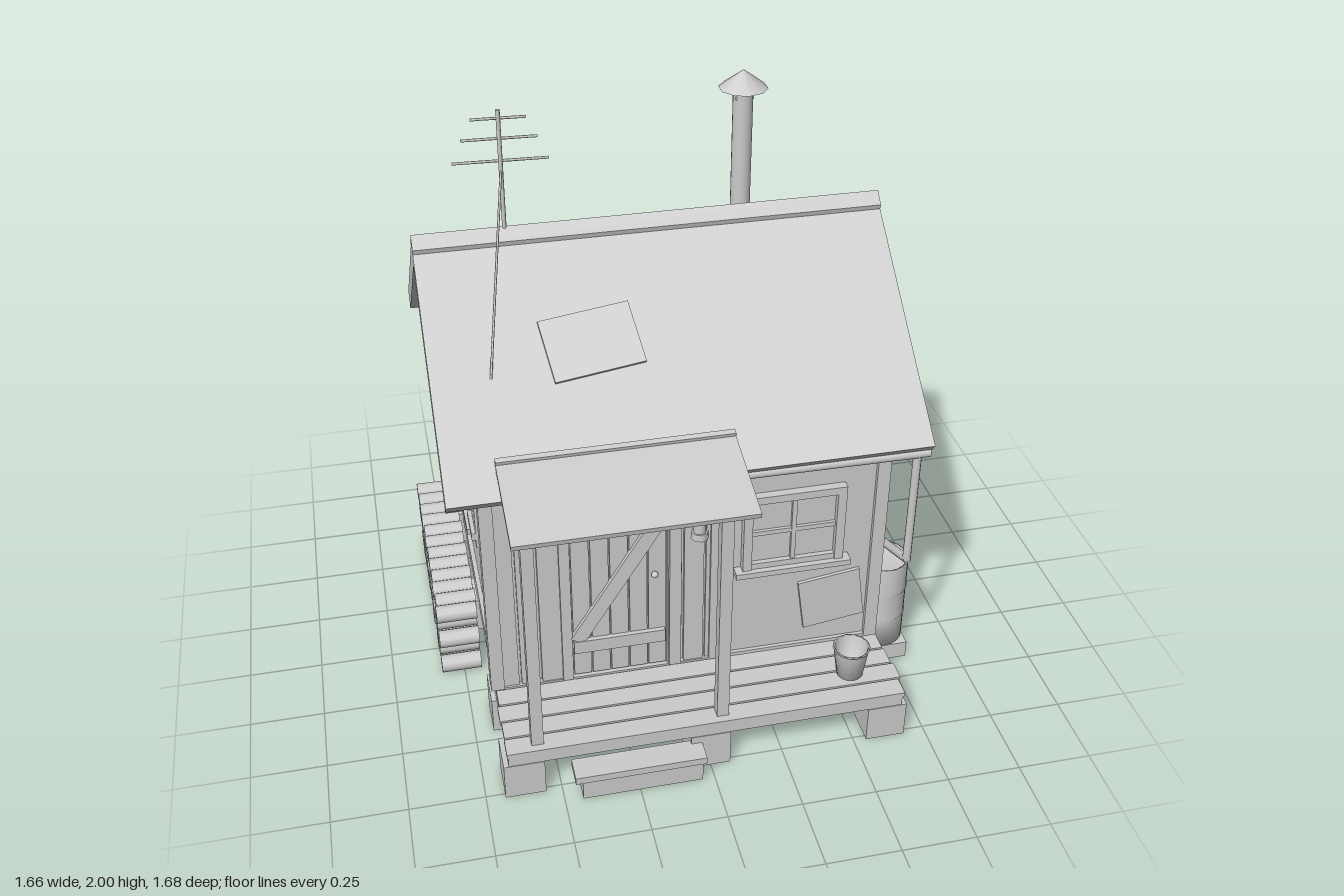
import * as THREE from 'three';

export function createModel() {
  const root = new THREE.Group();
  root.name = 'cabin';
  const grey = new THREE.MeshStandardMaterial({ color: 0xcccccc });
  grey.name = 'plainGrey';

  const add = (name, geo, x = 0, y = 0, z = 0, parent = root) => {
    const m = new THREE.Mesh(geo, grey);
    m.name = name;
    m.position.set(x, y, z);
    parent.add(m);
    return m;
  };
  // box given by its min and max corners
  const box = (name, x0, x1, y0, y1, z0, z1, parent = root) =>
    add(name, new THREE.BoxGeometry(x1 - x0, y1 - y0, z1 - z0),
      (x0 + x1) / 2, (y0 + y1) / 2, (z0 + z1) / 2, parent);
  const cyl = (name, rTop, rBot, h, x, y, z, sides = 16, parent = root) =>
    add(name, new THREE.CylinderGeometry(rTop, rBot, h, sides), x, y, z, parent);
  // round bar between two points
  const rod = (name, a, b, r, sides = 8) => {
    const p = new THREE.Vector3(...a), q = new THREE.Vector3(...b);
    const m = cyl(name, r, r, p.distanceTo(q), 0, 0, 0, sides);
    m.position.copy(p).add(q).multiplyScalar(0.5);
    m.quaternion.setFromUnitVectors(new THREE.Vector3(0, 1, 0), q.sub(p).normalize());
    return m;
  };
  const group = (name, x, y, z, rotY = 0) => {
    const g = new THREE.Group();
    g.name = name;
    g.position.set(x, y, z);
    g.rotation.y = rotY;
    root.add(g);
    return g;
  };
  let seed = 7;
  const rand = () => (seed = (seed * 16807) % 2147483647) / 2147483647;

  // foundation blocks and floor
  for (const z of [-0.675, -0.14, 0.39, 0.7])
    for (const x of [-0.62, 0, 0.61]) box('foundationBlock', x - 0.067, x + 0.067, 0, 0.135, z - 0.067, z + 0.067);
  box('floor', -0.67, 0.66, 0.135, 0.19, -0.74, 0.46);

  // walls with gables, extruded along x
  const Z = -0.147, pent = new THREE.Shape();
  pent.moveTo(-0.588, 0.17);
  pent.lineTo(0.588, 0.17);
  pent.lineTo(0.588, 1.053);
  pent.lineTo(0, 1.52);
  pent.lineTo(-0.588, 1.053);
  const walls = new THREE.ExtrudeGeometry(pent, { depth: 1.29, bevelEnabled: false });
  walls.translate(0, 0, -0.645).rotateY(-Math.PI / 2);
  add('walls', walls, 0, 0, Z);

  // corner boards and gable trims
  for (const s of [-1, 1]) {
    for (const [z0, z1] of [[0.41, 0.467], [-0.752, -0.71]])
      box('cornerBoard', s > 0 ? 0.62 : -0.685, s > 0 ? 0.665 : -0.64, 0.19, 1.03, z0, z1);
    box('gableTrim', s * 0.655 - 0.012, s * 0.655 + 0.012, 1.045, 1.09, -0.71, 0.41);
    box('sideSheet', s * 0.648 - 0.006, s * 0.648 + 0.006, 0.19, 1.045, -0.71, 0.41);
  }

  // right wall: patch and rivets
  box('sidePatch', 0.65, 0.664, 0.25, 0.635, -0.365, 0.11);
  const rivet = (x, y, z) => add('rivet', new THREE.SphereGeometry(0.007, 6, 4), x, y, z);
  for (let i = 0; i < 9; i++) {
    const z = -0.68 + i * 0.132;
    rivet(0.655, 1.01, z);
    rivet(0.655, 0.22, z);
    if (i > 0 && i < 8) for (const ze of [-0.68, 0.376]) rivet(0.655, 0.22 + i * 0.099, ze);
  }

  // vertical cladding on the back and the left part of the front
  const cladding = (x0, x1, z, dir) => {
    for (let x = x0; x < x1 - 0.01;) {
      const w = Math.min(0.055 + rand() * 0.035, x1 - x);
      const t = 0.008 + rand() * 0.012;
      box('wallPlank', x, x + w - 0.008, 0.18, 1.03, dir > 0 ? z : z - t, dir > 0 ? z + t : z);
      x += w;
    }
  };
  cladding(-0.64, 0.62, -0.735, -1);
  cladding(-0.64, -0.4, 0.441, 1);
  cladding(-0.08, 0.08, 0.441, 1);
  box('frontSheet', 0.09, 0.62, 0.2, 1.03, 0.441, 0.452);
  box('sheetEdge', 0.065, 0.09, 0.19, 1.03, 0.441, 0.462);
  box('baseTrim', 0.09, 0.66, 0.185, 0.2, 0.441, 0.465);

  // roof slopes with bargeboards and patches
  const A = Math.atan2(0.55, 0.692);
  const slope = (name, turn) => {
    const g = group(name, 0, 1.575, Z);
    g.rotation.set(A, turn, 0, 'YXZ');
    const f = turn ? -1 : 1;
    const sheet = box('roofSheet', -0.78, 0.78, -0.04, 0, 0, 0.884, g);
    sheet.position.x = -0.005 * f;
    for (const x of [-0.762, 0.752]) box('bargeboard', x * f - 0.023, x * f + 0.023, -0.066, -0.003, 0, 0.88, g);
    return g;
  };
  const front = slope('frontRoof', 0), back = slope('backRoof', Math.PI);
  box('roofPatch', -0.15, 0.15, 0, 0.012, -0.106, 0.106, front).position.set(-0.264, 0.008, 0.405);
  front.children.at(-1).rotation.y = 0.13;
  box('roofPatch', -0.195, 0.195, 0, 0.012, -0.128, 0.128, back).position.set(0.177, 0.008, 0.466);
  back.children.at(-1).rotation.y = -0.1;
  const capShape = new THREE.Shape([[0, 1.602], [-0.038, 1.565], [-0.03, 1.535], [0, 1.55], [0.03, 1.535], [0.038, 1.565]]
    .map(p => new THREE.Vector2(...p)));
  const cap = new THREE.ExtrudeGeometry(capShape, { depth: 1.56, bevelEnabled: false });
  cap.translate(0, 0, -0.78).rotateY(-Math.PI / 2);
  add('ridgeCap', cap, -0.005, 0, Z);

  // stove pipe
  cyl('stovePipe', 0.035, 0.035, 0.56, 0.38, 1.585, -0.45);
  cyl('pipeFlashing', 0.04, 0.085, 0.09, 0.38, 1.345, -0.45);
  cyl('pipeCap', 0.002, 0.085, 0.062, 0.38, 1.913, -0.45, 10);
  for (let i = 0; i < 3; i++) {
    const a = i * 2.094 + 0.5;
    cyl('capBracket', 0.005, 0.005, 0.05, 0.38 + 0.033 * Math.cos(a), 1.87, -0.45 + 0.033 * Math.sin(a), 6);
  }

  // antenna
  cyl('antennaMast', 0.007, 0.007, 0.42, -0.485, 1.79, Z, 8);
  for (const [y, r] of [[1.972, 0.087], [1.905, 0.12], [1.83, 0.152]])
    rod('antennaBar', [-0.485 - r, y, Z - r * 0.04], [-0.485 + r, y, Z + r * 0.04], 0.0045, 6);
  rod('guyWire', [-0.485, 1.8, Z], [-0.595, 1.27, 0.235], 0.004, 6);

  // porch deck, step, awning and posts
  for (let i = 0; i < 4; i++)
    box('deckPlank', -0.68 + rand() * 0.012, 0.665 + rand() * 0.014, 0.17, 0.187, 0.465 + i * 0.077, 0.535 + i * 0.077);
  box('deckBeam', -0.67, 0.66, 0.135, 0.17, 0.72, 0.765);
  box('deckBeam', -0.67, 0.66, 0.135, 0.17, 0.46, 0.5);
  box('stepBase', -0.44, -0.04, 0, 0.085, 0.76, 0.825);
  box('stepTread', -0.465, -0.03, 0.082, 0.108, 0.75, 0.838);
  for (const x of [-0.57, 0.045]) box('porchPost', x - 0.02, x + 0.02, 0.187, 1.025, 0.7, 0.74);
  box('awningBeam', -0.6, 0.12, 1.0, 1.025, 0.705, 0.735);
  const awning = group('awning', 0, 1.1, 0.44);
  awning.rotation.x = 0.22;
  box('awningSheet', -0.62, 0.138, -0.012, 0.006, 0, 0.345, awning);
  box('awningBatten', -0.62, 0.138, 0, 0.018, 0, 0.02, awning);

  // door with boards and z-brace
  for (let i = 0; i < 5; i++)
    box('doorPlank', -0.4 + i * 0.064, -0.341 + i * 0.064, 0.2, 0.99, 0.441, 0.456);
  box('doorFrame', -0.44, -0.405, 0.19, 1.02, 0.441, 0.468);
  box('doorFrame', -0.075, -0.035, 0.19, 1.02, 0.441, 0.468);
  box('doorBrace', -0.4, -0.09, 0.83, 0.88, 0.45, 0.472);
  box('doorBrace', -0.4, -0.09, 0.305, 0.355, 0.45, 0.472);
  box('doorDiagonal', -0.025, 0.025, -0.275, 0.275, -0.01, 0.01).position.set(-0.245, 0.59, 0.46);
  root.children.at(-1).rotation.z = -0.55;
  add('doorKnob', new THREE.SphereGeometry(0.012, 10, 8), -0.125, 0.595, 0.468);

  // porch bulb and lantern
  add('porchBulb', new THREE.SphereGeometry(0.025, 12, 8), -0.465, 0.96, 0.485);
  cyl('bulbSocket', 0.013, 0.016, 0.03, -0.465, 0.99, 0.475, 10);
  rod('lanternBracket', [0.01, 0.95, 0.45], [0.01, 0.95, 0.53], 0.006);
  rod('lanternHook', [0.01, 0.95, 0.525], [0.01, 0.89, 0.525], 0.004);
  cyl('lanternTop', 0.008, 0.032, 0.035, 0.01, 0.892, 0.525, 8);
  cyl('lanternGlass', 0.022, 0.022, 0.08, 0.01, 0.835, 0.525, 8);
  cyl('lanternBase', 0.028, 0.03, 0.025, 0.01, 0.785, 0.525, 8);

  // four-pane window facing local +z
  const makeWindow = (name, x, y, z, rot) => {
    const g = group(name, x, y, z, rot);
    box('glass', -0.15, 0.15, -0.14, 0.13, 0, 0.008, g);
    for (const s of [-1, 1]) box('windowJamb', s * 0.158 - 0.015, s * 0.158 + 0.015, -0.147, 0.148, 0, 0.03, g);
    box('windowHead', -0.172, 0.172, 0.12, 0.148, 0, 0.031, g);
    box('windowFoot', -0.145, 0.145, -0.147, -0.125, 0, 0.025, g);
    box('windowMullion', -0.008, 0.008, -0.14, 0.13, 0, 0.02, g);
    box('windowRail', -0.145, 0.145, -0.015, 0.002, 0, 0.019, g);
    box('windowSill', -0.198, 0.198, -0.168, -0.147, 0, 0.045, g);
    return g;
  };
  makeWindow('frontWindow', 0.343, 0.712, 0.45, 0);
  const side = makeWindow('sideWindow', -0.652, 0.712, -0.14, -Math.PI / 2);
  for (const s of [-1, 1]) {
    const sh = new THREE.Group();
    sh.name = 'shutter';
    sh.position.set(s * 0.25, 0, 0.015);
    sh.rotation.z = s > 0 ? 0 : 0.05;
    side.add(sh);
    for (const x of [-0.045, 0, 0.045]) box('shutterBoard', x - 0.02, x + 0.02, -0.14, 0.145, -0.015, 0.01, sh);
    for (const y of [-0.09, 0.09]) box('shutterBatten', -0.068, 0.068, y - 0.014, y + 0.014, 0.008, 0.024, sh);
  }
  const boarded = makeWindow('boardedWindow', -0.26, 0.712, -0.745, Math.PI);
  for (const [y, a] of [[0.095, -0.08], [-0.01, 0.5], [-0.1, -0.1]]) {
    const b = box('nailedBoard', -0.185, 0.185, -0.024, 0.024, 0, 0.018, boarded);
    b.position.set(0, y, 0.04);
    b.rotation.z = a;
  }

  // back panel with rivets, loose sheet on the front
  box('backPanel', 0.09, 0.53, 0.2, 0.76, -0.765, -0.74);
  for (const x of [0.11, 0.31, 0.51]) for (const y of [0.22, 0.48, 0.74]) rivet(x, y, -0.766);
  const sheet = box('looseSheet', -0.108, 0.108, -0.1, 0.1, -0.006, 0.006);
  sheet.position.set(0.492, 0.38, 0.458);
  sheet.rotation.z = 0.14;

  // bucket on the porch
  const bucket = new THREE.LatheGeometry([[0, 0], [0.045, 0], [0.06, 0.108], [0.064, 0.113], [0.056, 0.113], [0.042, 0.01], [0, 0.01]]
    .map(p => new THREE.Vector2(...p)), 14);
  add('bucket', bucket, 0.517, 0.187, 0.628);

  // gutter, downpipe and rain barrel
  rod('gutter', [0.09, 0.99, 0.515], [0.77, 0.985, 0.515], 0.018, 10);
  rod('downpipe', [0.73, 0.985, 0.515], [0.73, 0.55, 0.515], 0.014, 10);
  rod('downpipeSpout', [0.73, 0.555, 0.52], [0.73, 0.465, 0.31], 0.015, 10);
  box('barrelBase', 0.64, 0.815, 0, 0.065, 0.225, 0.4);
  const barrel = new THREE.LatheGeometry([[0, 0], [0.09, 0], [0.09, 0.11], [0.093, 0.115], [0.09, 0.12], [0.09, 0.22], [0.093, 0.225],
    [0.09, 0.23], [0.09, 0.34], [0.083, 0.34], [0.083, 0.325], [0, 0.325]].map(p => new THREE.Vector2(...p)), 20);
  add('rainBarrel', barrel, 0.73, 0.065, 0.31);

  // stacked firewood
  for (let row = 0; row < 5; row++)
    for (let i = 0; i < 12 - (row % 2); i++) {
      const z = -0.622 + i * 0.0675 + (row % 2) * 0.034;
      const log = cyl('firewoodLog', 0.032, 0.032, 0.14, -0.76 + (rand() - 0.5) * 0.006, 0.032 + row * 0.057, z, 10);
      log.rotation.z = Math.PI / 2;
    }
  return root;
}
